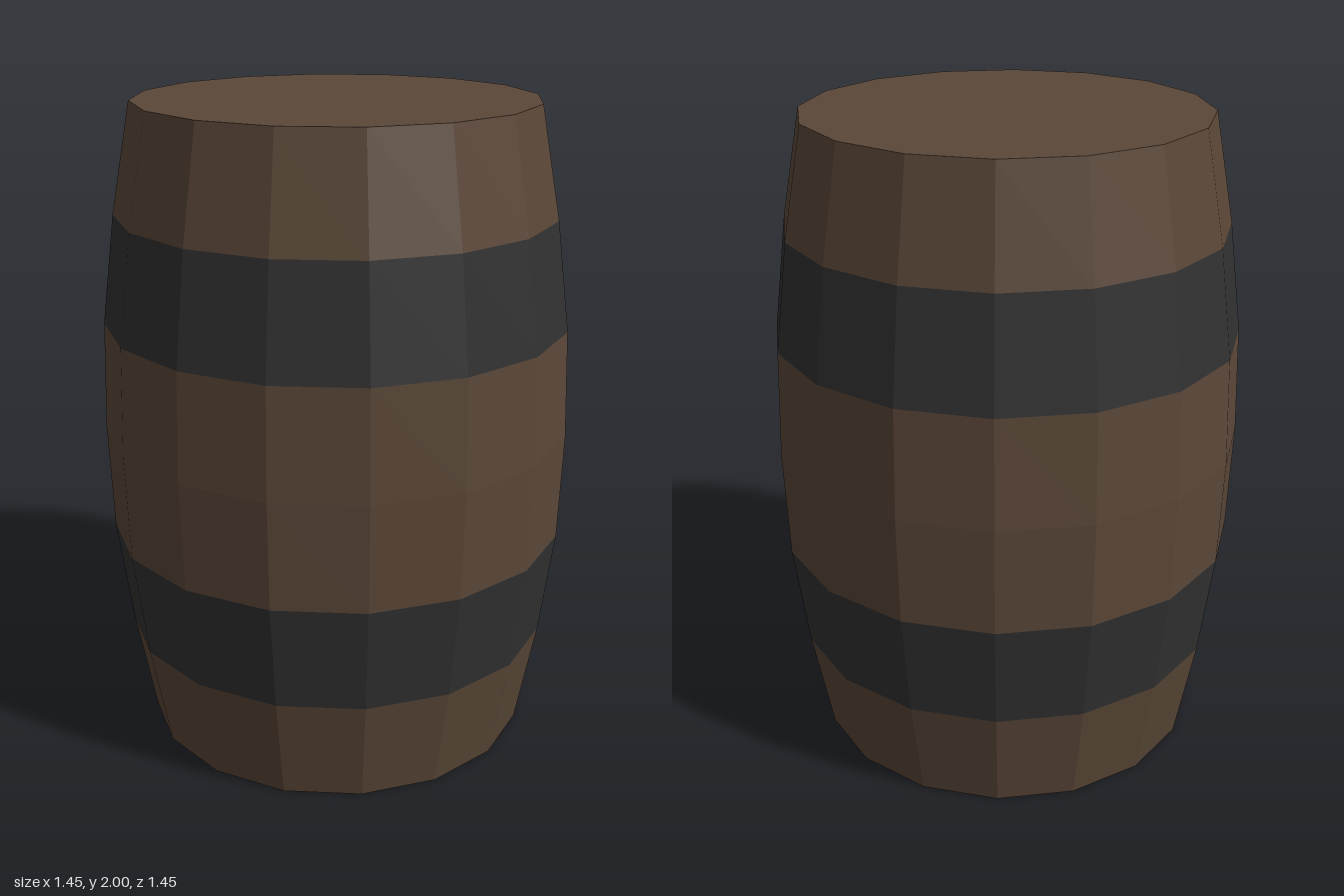
import * as THREE from 'three';

const SIDES = 16;

export function createModel() {
  const barrel = new THREE.Group();
  barrel.name = 'barrel';

  const wood = new THREE.MeshStandardMaterial({ color: 0x5b4738 });
  wood.name = 'dark wood';
  const iron = new THREE.MeshStandardMaterial({ color: 0x313131 });
  iron.name = 'dark iron';

  const add = (name, geometry, material) => {
    const mesh = new THREE.Mesh(geometry, material);
    mesh.name = name;
    barrel.add(mesh);
    return mesh;
  };

  // A faceted ring of the barrel wall from [radius, height] points, bottom to top
  const wall = (name, profile, material) => {
    const points = profile.map(([r, y]) => new THREE.Vector2(r, y));
    const geometry = new THREE.LatheGeometry(points, SIDES).toNonIndexed();
    geometry.computeVertexNormals();
    add(name, geometry, material);
  };

  // Bulging profile of the barrel
  const end = 0.61, shoulder = 0.672, waist = 0.715, belly = 0.726;
  const y1 = 1 / 3, y2 = 2 / 3, y3 = 4 / 3, y4 = 5 / 3;

  // Staves
  wall('lowerStaves', [[end, 0], [shoulder, y1]], wood);
  wall('middleStaves', [[waist, y2], [belly, 1], [waist, y3]], wood);
  wall('upperStaves', [[shoulder, y4], [end, 2]], wood);

  // Hoops, flush with the staves
  wall('lowerHoop', [[shoulder, y1], [waist, y2]], iron);
  wall('upperHoop', [[waist, y3], [shoulder, y4]], iron);

  // Flat lid and base
  const disc = new THREE.CircleGeometry(end, SIDES);
  const lid = add('lid', disc, wood);
  lid.rotation.x = -Math.PI / 2;
  lid.position.y = 2;
  const base = add('base', disc, wood);
  base.rotation.x = Math.PI / 2;

  return barrel;
}
